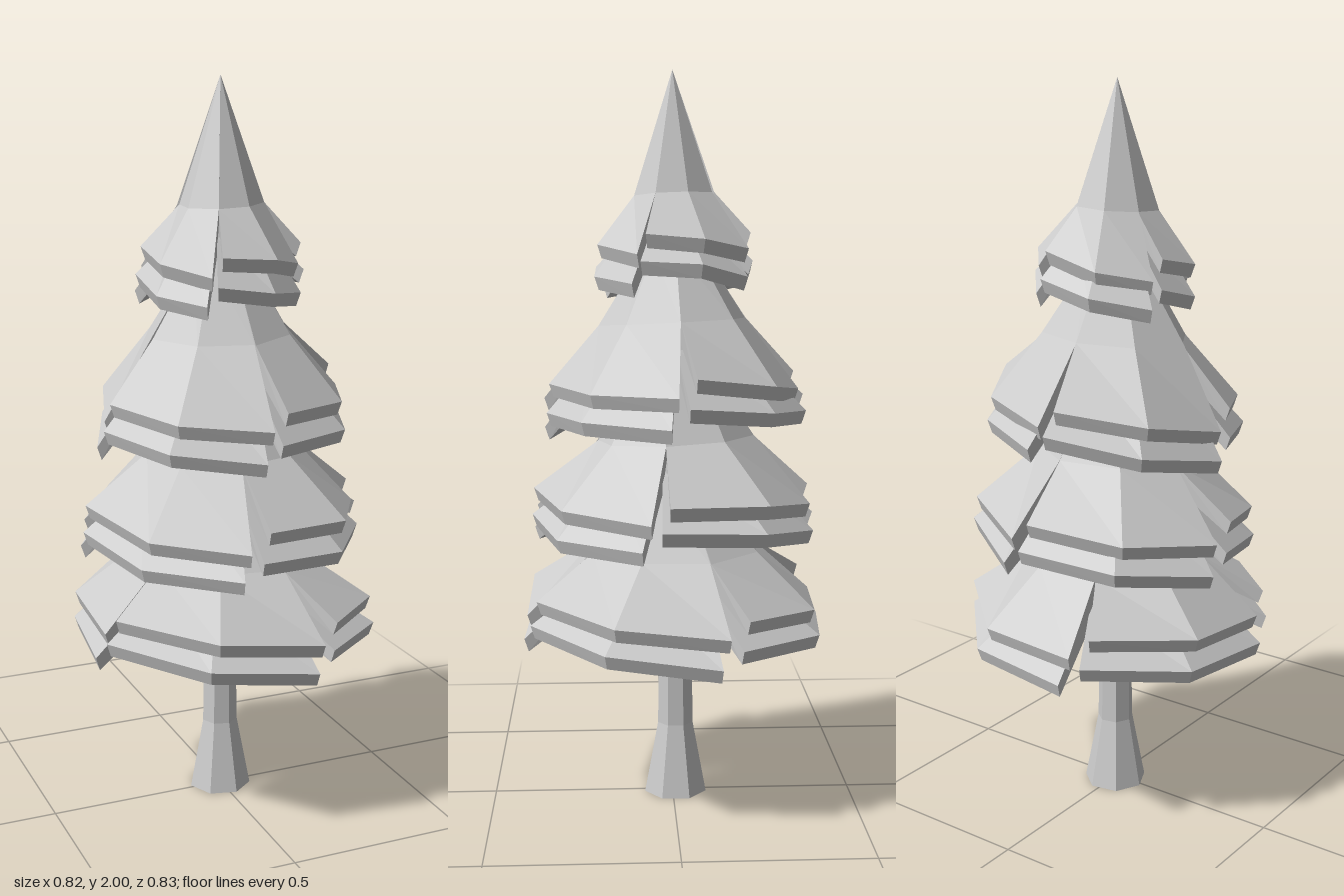
import * as THREE from 'three';

const material = new THREE.MeshStandardMaterial({ color: 0xcccccc, flatShading: true });
const wobble = (n) => Math.sin(n * 12.9898) * 0.5 + Math.sin(n * 4.137 + 1) * 0.5;

// Solid panel: columns of points round the trunk, each column a closed section
// (outer side downwards, rim, inner side upwards).
function panelGeometry(columns) {
  const pos = [];
  const tri = (a, b, c) => pos.push(...a, ...b, ...c);
  const n = columns[0].length;
  for (let i = 0; i < columns.length - 1; i++) {
    const a = columns[i], b = columns[i + 1];
    for (let k = 0; k < n; k++) {
      const m = (k + 1) % n;
      tri(a[k], b[k], a[m]);
      tri(b[k], b[m], a[m]);
    }
  }
  // End walls along the notches
  const s = columns[0], e = columns[columns.length - 1];
  for (let k = 0; k < n / 2 - 1; k++) {
    const q = [k, k + 1, n - 2 - k, n - 1 - k];
    tri(s[q[0]], s[q[1]], s[q[2]]);
    tri(s[q[0]], s[q[2]], s[q[3]]);
    tri(e[q[0]], e[q[2]], e[q[1]]);
    tri(e[q[0]], e[q[3]], e[q[2]]);
  }
  const g = new THREE.BufferGeometry();
  g.setAttribute('position', new THREE.Float32BufferAttribute(pos, 3));
  g.computeVertexNormals();
  return g;
}

// One skirt: four drooping panels separated by narrow V notches
function makeSkirt({ profile, notch, tilt }, layer, seed) {
  const skirt = new THREE.Group();
  const drop = layer * 0.072, grow = layer * 0.012;
  const turn = THREE.MathUtils.degToRad(notch + layer * 3);
  const [top, mid, rim] = profile;
  for (let p = 0; p < 4; p++) {
    const columns = [0, 1, 2].map((c) => {
      const id = seed * 31 + layer * 17 + p * 5 + c;
      const base = turn + (p + c / 2) * Math.PI / 2;
      const gap = (1 - c) * 0.065;
      const lift = (c - 1) * 0.025 + 0.012 * wobble(id);
      const r = rim[0] + grow + 0.012 * wobble(id + 3);
      const point = (radius, y, angle) => {
        const x = radius * Math.cos(angle), z = radius * Math.sin(angle);
        return [x, y - drop + tilt[0] * x + tilt[1] * z, z];
      };
      const mr = mid[0] + 0.01 * wobble(id + 7);
      return [
        point(top[0], top[1], base),
        point(mr, mid[1], base),
        point(r, rim[1] + lift, base + gap),
        point(r - 0.012, rim[1] + lift - 0.036, base + gap),
        point(mr * 0.82, mid[1] - 0.045, base),
        point(top[0] * 0.6, top[1] - 0.06, base),
      ];
    });
    const panel = new THREE.Mesh(panelGeometry(columns), material);
    panel.name = 'foliagePanel';
    skirt.add(panel);
  }
  skirt.name = layer ? 'lowerSkirt' : 'upperSkirt';
  return skirt;
}

export function createModel() {
  const tree = new THREE.Group();
  tree.name = 'pineTree';

  // Seven-sided trunk, flared at the root
  const trunkProfile = [[0, 0], [0.088, 0], [0.05, 0.2], [0.046, 0.5], [0.04, 0.75], [0, 0.75]];
  const trunk = new THREE.Mesh(
    new THREE.LatheGeometry(trunkProfile.map(([r, y]) => new THREE.Vector2(r, y)), 7, 0.2),
    material
  );
  trunk.name = 'trunk';
  trunk.position.z = -0.008;
  tree.add(trunk);

  // Foliage tiers from bottom to top: [radius, height] at neck, shoulder and rim
  const tiers = [
    { profile: [[0.11, 0.86], [0.24, 0.71], [0.415, 0.575]], notch: 68, tilt: [-0.03, 0] },
    { profile: [[0.1, 1.2], [0.215, 1.01], [0.38, 0.85]], notch: 97, tilt: [0.03, -0.04] },
    { profile: [[0.08, 1.52], [0.2, 1.33], [0.345, 1.155]], notch: 86, tilt: [0.04, -0.05] },
    { profile: [[0.0, 2.0], [0.115, 1.67], [0.215, 1.535]], notch: 115, tilt: [0.05, -0.04] },
  ];
  tiers.forEach((tier, i) => {
    const group = new THREE.Group();
    group.name = 'foliageTier' + (i + 1);
    for (const layer of [0, 1]) group.add(makeSkirt(tier, layer, i + 1));
    tree.add(group);
  });
  return tree;
}
